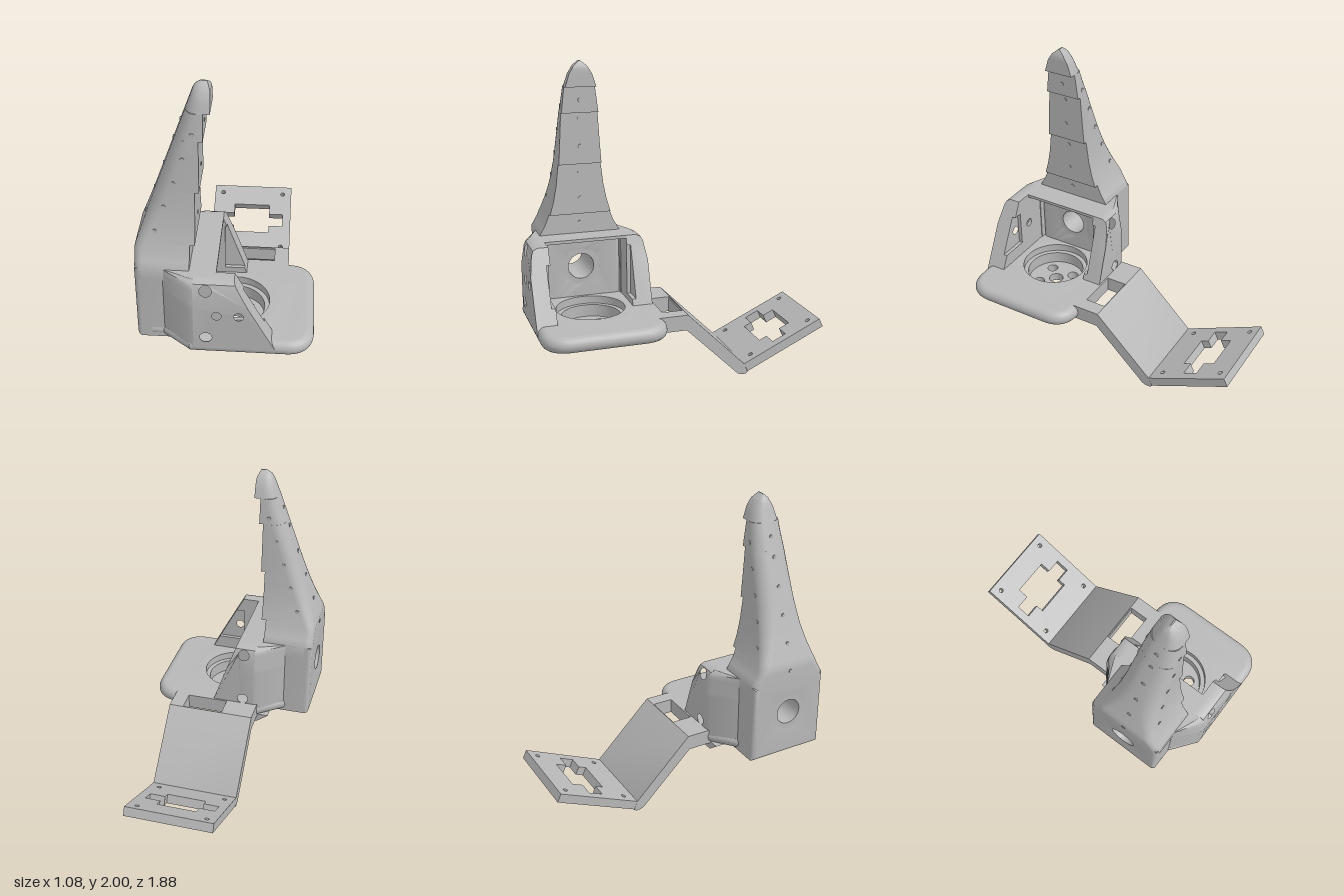
import * as THREE from 'three';
import { toCreasedNormals } from 'three/addons/utils/BufferGeometryUtils.js';

const grey = new THREE.MeshStandardMaterial({ color: 0xb8b8b8 });
grey.name = 'grey plastic';
const MID = 0.545; // z of the symmetry plane of hand and finger
const V = (x, y) => new THREE.Vector2(x, y);

function mesh(name, geo, parent) {
  const m = new THREE.Mesh(toCreasedNormals(geo, 0.6), grey);
  m.name = name;
  parent.add(m);
  return m;
}
const poly = pts => new THREE.Shape(pts.map(p => V(p[0], p[1])));
function addHole(shape, x, y, r) {
  shape.holes.push(new THREE.Path().absarc(x, y, r, 0, Math.PI * 2, true));
}
function extrude(shape, depth, bevel = 0) {
  return new THREE.ExtrudeGeometry(shape, {
    depth, curveSegments: 16, bevelEnabled: bevel > 0,
    bevelSize: bevel, bevelThickness: bevel, bevelSegments: 6,
  });
}
// Extrude along +x a shape drawn with (-z, y); along +y a shape drawn with (x, -z)
const alongX = (shape, x0, x1, bevel = 0) =>
  extrude(shape, x1 - x0 - 2 * bevel, bevel).rotateY(Math.PI / 2).translate(x0 + bevel, 0, 0);
const alongY = (shape, y0, y1, bevel = 0) =>
  extrude(shape, y1 - y0 - 2 * bevel, bevel).rotateX(-Math.PI / 2).translate(0, y0 + bevel, 0);
const lathe = pts => new THREE.LatheGeometry(pts.map(p => V(p[0], p[1])), 48);
const table = (t, y) => {
  let i = 1;
  while (i < t.length - 1 && y > t[i][0]) i++;
  const [a, b] = [t[i - 1], t[i]];
  return a[1] + (b[1] - a[1]) * THREE.MathUtils.clamp((y - a[0]) / (b[0] - a[0]), 0, 1);
};

// Finger profiles by height
const halfWidth = [[0.8, 0.265], [0.88, 0.265], [0.95, 0.225], [1.015, 0.2], [1.1, 0.175], [1.2, 0.155],
  [1.345, 0.138], [1.5, 0.128], [1.675, 0.118], [1.84, 0.098], [1.92, 0.073], [1.97, 0.042], [2, 0.004]];
const backX = [[0.8, -0.54], [0.98, -0.54], [1.95, -0.193], [1.98, -0.177], [2, -0.15]];
const steps = [[0.8, -0.21], [1.015, -0.18], [1.345, -0.155], [1.675, -0.13], [1.84, -0.09]];
const frontX = y => steps.filter(s => s[0] <= y + 1e-6).pop()[1] - Math.max(0, y - 1.96) * 0.5;

function fingerGeometry() {
  const rings = [];
  const ring = (y, xf) => {
    const w = table(halfWidth, y), xb = table(backX, y), up = THREE.MathUtils.smoothstep(y, 0.9, 1.3);
    const rx = Math.min(0.05 + 0.035 * up, (xf - xb) * 0.6);
    const rz = Math.min(0.05 + up * 0.05, w * 0.75);
    const half = [[xf, w]];
    for (let i = 0; i <= 6; i++) {
      const a = i / 6 * Math.PI / 2;
      half.push([xb + rx - rx * Math.sin(a), w - rz + rz * Math.cos(a)]);
    }
    const all = [...half, ...half.slice().reverse().map(p => [p[0], -p[1]])];
    rings.push(all.map(p => [p[0], y, MID + p[1]]));
  };
  const ys = [0.8, 0.88, 0.92, 0.95, 0.98, 1.015, 1.06, 1.1, 1.15, 1.2, 1.27, 1.345, 1.42, 1.5, 1.59, 1.675,
    1.76, 1.84, 1.88, 1.92, 1.95, 1.97, 1.985, 2];
  for (const y of ys) {
    if (steps.some((s, i) => i && s[0] === y)) ring(y, frontX(y - 0.001));
    ring(y, frontX(y));
  }
  const n = rings[0].length, idx = [];
  for (let r = 0; r < rings.length - 1; r++) for (let i = 0; i < n; i++) {
    const a = r * n + i, b = r * n + (i + 1) % n;
    idx.push(a, b, b + n, a, b + n, a + n);
  }
  const top = (rings.length - 1) * n;
  for (let i = 1; i < n - 1; i++) idx.push(top, top + i, top + i + 1, 0, i + 1, i);
  // Rings run clockwise seen from above, so every triangle is turned round
  for (let i = 0; i < idx.length; i += 3) [idx[i + 1], idx[i + 2]] = [idx[i + 2], idx[i + 1]];
  const g = new THREE.BufferGeometry();
  g.setAttribute('position', new THREE.Float32BufferAttribute(rings.flat(2), 3));
  g.setIndex(idx);
  return g;
}

// Side cheek, built for +z relative to the middle plane; top edge leans inwards
function cheek(name, topX, botX, notch, holes) {
  const g = new THREE.Group();
  g.name = name;
  const slope = y => botX + (topX - botX) * (y - 0.45) / 0.43;
  const lean = geo => {
    const p = geo.attributes.position;
    for (let i = 0; i < p.count; i++) {
      const d = table([[0.72, 0], [0.84, 0.02], [0.865, 0.032], [0.88, 0.06]], p.getY(i));
      if (p.getZ(i) > 0.3) p.setZ(i, p.getZ(i) - d);
    }
    return geo;
  };
  const levels = [0.4, 0.72, 0.84, 0.865, 0.88];
  const outer = poly([...levels.map(y => [-0.18, y]), ...levels.slice().reverse().map(y => [slope(y), y])]);
  [[-0.105, 0.825], [-0.105, 0.485]].forEach(h => addHole(outer, h[0], h[1], 0.036));
  holes.forEach(h => addHole(outer, h[0], h[1], 0.028));
  mesh('cheekWall', lean(extrude(outer, 0.105).translate(0, 0, 0.29)), g);
  const [nx, y0, y1] = notch;
  const inner = poly([[-0.25, 0.4], [slope(0.4), 0.4], [slope(y0), y0], [nx, y0], [nx, y1],
    [slope(y1), y1], [topX, 0.88], [-0.25, 0.88]]);
  holes.filter(h => h[0] < nx).forEach(h => addHole(inner, h[0], h[1], 0.028));
  mesh('cheekLining', extrude(inner, 0.025).translate(0, 0, 0.265), g);
  const pts = [[-0.37, -0.26], [-0.18, -0.26], [-0.18, -0.395], [-0.215, -0.385]];
  const wedge = new THREE.ExtrudeGeometry(poly(pts), { depth: 0.48, steps: 24, bevelEnabled: false });
  mesh('cheekWedge', lean(wedge.rotateX(-Math.PI / 2).translate(0, 0.4, 0)), g);
  g.position.z = MID;
  return g;
}

export function createModel() {
  const model = new THREE.Group();
  model.name = 'gripperFinger';

  // Palm plate with bullnose rim
  const plate = new THREE.Shape();
  plate.moveTo(-0.4, -0.33).lineTo(-0.36, -0.33).lineTo(-0.19, -0.2).lineTo(0.37, -0.2)
    .quadraticCurveTo(0.49, -0.2, 0.49, -0.32).lineTo(0.49, -0.77).quadraticCurveTo(0.49, -0.89, 0.37, -0.89)
    .lineTo(-0.19, -0.89).lineTo(-0.36, -0.76).lineTo(-0.4, -0.76);
  addHole(plate, 0.04, -MID, 0.272);
  mesh('palmPlate', alongY(plate, 0.35, 0.45, 0.0495), model);

  // Round socket under the plate, with a drilled floor
  mesh('socket', lathe([[0.2, 0.25], [0.2, 0.35], [0.275, 0.35], [0.275, 0.45], [0.22, 0.45], [0.22, 0.4],
    [0.19, 0.4], [0.19, 0.25], [0.2, 0.25]]), model).position.set(0.04, 0, MID);
  const floor = new THREE.Shape().absarc(0, 0, 0.195, 0, Math.PI * 2);
  addHole(floor, 0, 0, 0.048);
  for (const x of [-1, 1]) for (const z of [-1, 1]) addHole(floor, x * 0.085, z * 0.085, 0.036);
  mesh('socketFloor', alongY(floor, 0.265, 0.32), model).position.set(0.04, 0, MID);

  // Knuckle block with a round bore through it
  const block = poly([[-0.775, 0.38], [-0.31, 0.38], [-0.31, 0.85], [-0.775, 0.85]]);
  addHole(block, -MID, 0.655, 0.115);
  mesh('knuckleBlock', alongX(block, -0.54, -0.2, 0.03), model);
  const bore = lathe([[0.125, 0], [0.125, 0.34], [0.085, 0.34], [0.085, 0], [0.125, 0]]);
  mesh('bore', bore.rotateZ(-Math.PI / 2).translate(-0.54, 0.655, MID), model);

  // Tapered, stepped finger and its cross pins
  mesh('finger', fingerGeometry(), model);
  const pin = (name, length) => mesh(name, new THREE.CylinderGeometry(0.013, 0.013, length, 10), model);
  for (let i = 0; i < 5; i++) {
    const y = 1.095 + i * 0.155;
    const p = pin('sidePin', 2 * table(halfWidth, y) + 0.006);
    p.rotation.x = Math.PI / 2;
    p.position.set(-0.415 + i * 0.056, y, MID);
  }
  for (const y of [0.95, 1.12, 1.29, 1.46, 1.635, 1.755]) {
    const a = table(backX, y), b = frontX(y);
    const p = pin('frontPin', b - a + 0.008);
    p.rotation.z = Math.PI / 2;
    p.position.set((a + b) / 2, y, MID);
  }

  // Cheeks and the roof between them
  model.add(cheek('frontCheek', 0.06, 0.285, [0.055, 0.54, 0.78], [[-0.04, 0.655], [0.09, 0.655]]));
  const rear = cheek('rearCheek', -0.05, 0.1, [-0.04, 0.49, 0.82], []);
  rear.scale.z = -1;
  model.add(rear);
  mesh('roof', new THREE.BoxGeometry(0.17, 0.02, 0.54).translate(-0.135, 0.87, MID), model);

  // Small lug under the plate
  mesh('lug', extrude(poly([[-0.28, 0.36], [-0.2, 0.3], [-0.1, 0.3], [-0.1, 0.36]]), 0.11).translate(0, 0, 0.17), model);

  // Bracket root with a window, then the bent arm
  const root = poly([[-0.205, 0], [0.37, 0], [0.37, -0.2], [-0.205, -0.2]]);
  root.holes.push(new THREE.Path([V(0.005, -0.005), V(0.005, -0.14), V(0.275, -0.14), V(0.275, -0.005)]));
  mesh('bracketRoot', alongY(root, 0.35, 0.45), model);
  const arm = poly([[0, 0.45], [-0.01, 0.44], [-0.01, 0.35], [0.34, 0.01], [0.365, 0], [0.395, 0], [0.41, 0.012], [0.385, 0.07]]);
  mesh('bracketArm', alongX(arm, -0.205, 0.37), model);

  // Tilted mounting panel with a cross-shaped cutout and screw holes
  const tilt = Math.atan2(0.245, 0.53), u = z => (-z - 0.385) / Math.cos(tilt);
  const panel = poly([[-0.205, 0], [0.37, 0], [0.37, 0.584], [-0.205, 0.584]]);
  const cut = [[-0.15, -0.61], [-0.05, -0.61], [-0.05, -0.56], [0.21, -0.56], [0.21, -0.61], [0.31, -0.61],
    [0.31, -0.7], [0.21, -0.7], [0.21, -0.77], [-0.05, -0.77], [-0.05, -0.7], [-0.15, -0.7]];
  panel.holes.push(new THREE.Path(cut.map(p => V(p[0], u(p[1])))));
  for (const x of [-0.145, 0.305]) for (const z of [-0.86, -0.455]) addHole(panel, x, u(z), 0.015);
  const c = Math.cos(tilt), s = Math.sin(tilt);
  const frame = new THREE.Matrix4().makeBasis(new THREE.Vector3(1, 0, 0), new THREE.Vector3(0, s, -c), new THREE.Vector3(0, c, s));
  mesh('mountingPanel', extrude(panel, 0.06).translate(0, 0, -0.06).applyMatrix4(frame).translate(0, 0.07, -0.385), model);

  return model;
}
